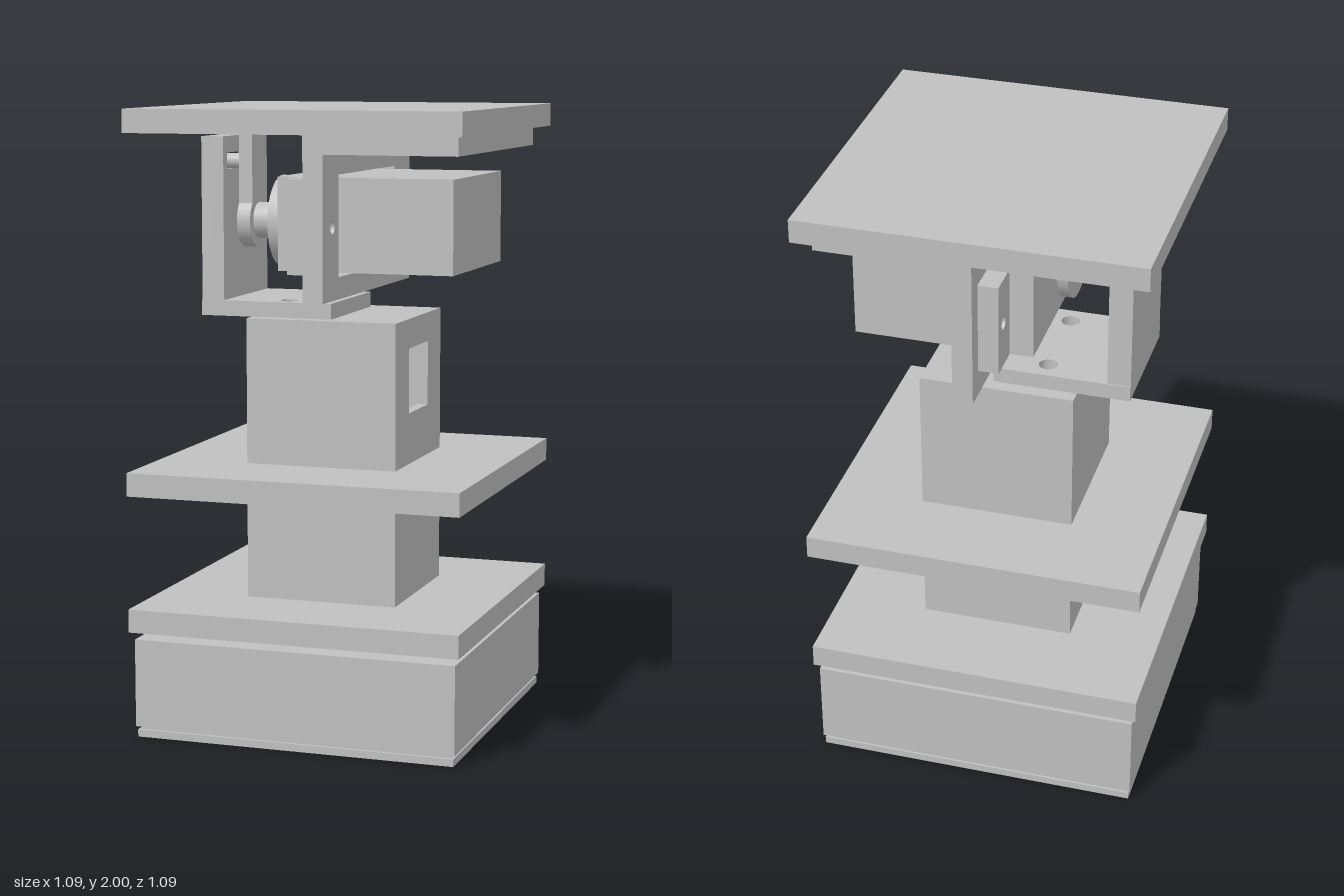
import * as THREE from 'three';

const grey = new THREE.MeshStandardMaterial({ color: 0xc0c0c0 });
grey.name = 'plain grey';

export function createModel() {
  const root = new THREE.Group();
  root.name = 'servoTower';

  function add(name, geometry, parent = root) {
    const mesh = new THREE.Mesh(geometry, grey);
    mesh.name = name;
    parent.add(mesh);
    return mesh;
  }
  function group(name) {
    const g = new THREE.Group();
    g.name = name;
    root.add(g);
    return g;
  }
  // Box given by its limits on each axis
  function box(name, [x0, x1], [y0, y1], [z0, z1], parent) {
    const g = new THREE.BoxGeometry(x1 - x0, y1 - y0, z1 - z0);
    g.translate((x0 + x1) / 2, (y0 + y1) / 2, (z0 + z1) / 2);
    return add(name, g, parent);
  }
  // Cylinder lying along x
  function rod(name, [x0, x1], y, z, r, parent) {
    const g = new THREE.CylinderGeometry(r, r, x1 - x0, 40);
    g.rotateZ(Math.PI / 2).translate((x0 + x1) / 2, y, z);
    return add(name, g, parent);
  }
  function rect(path, a0, a1, b0, b1) {
    path.moveTo(a0, b0);
    path.lineTo(a1, b0);
    path.lineTo(a1, b1);
    path.lineTo(a0, b1);
    path.closePath();
    return path;
  }
  const rectHole = (...limits) => rect(new THREE.Path(), ...limits);
  const roundHole = (a, b, r) => new THREE.Path().absarc(a, b, r, 0, Math.PI * 2, true);
  function pierced(limits, holes, depth) {
    const shape = rect(new THREE.Shape(), ...limits);
    shape.holes.push(...holes);
    return new THREE.ExtrudeGeometry(shape, { depth, bevelEnabled: false, curveSegments: 16 });
  }
  // Upright plate facing x: outline in (-z, y)
  function wall(name, [x0, x1], limits, holes, parent) {
    return add(name, pierced(limits, holes, x1 - x0).rotateY(Math.PI / 2).translate(x0, 0, 0), parent);
  }
  // Level plate: outline in (x, -z)
  function shelf(name, [y0, y1], limits, holes, parent) {
    return add(name, pierced(limits, holes, y1 - y0).rotateX(-Math.PI / 2).translate(0, y0, 0), parent);
  }
  const square = (name, h, y) => box(name, [-h, h], y, [-h, h]);

  // Base and square platforms
  square('bottomCover', 0.525, [0, 0.024]);
  square('baseSeam', 0.515, [0.02, 0.04]);
  square('baseBlock', 0.53, [0.035, 0.32]);
  square('lowerPlatform', 0.545, [0.345, 0.42]);
  square('middlePlatform', 0.545, [0.785, 0.86]);
  square('topPlatform', 0.545, [1.925, 2]);

  // Hollow column with a square opening in its left wall
  const column = group('column');
  const h = 0.25, t = 0.035, y0 = 0.32, y1 = 1.33;
  wall('columnWindowWall', [h - t, h], [-h, h, y0, y1], [rectHole(-0.105, 0.105, 1.025, 1.235)], column);
  box('columnRightWall', [-h, t - h], [y0, y1], [-h, h], column);
  for (const s of [-1, 1]) {
    const z = s * (h - t / 2);
    box('columnSideWall', [t - h, h - t], [y0, y1], [z - t / 2, z + t / 2], column);
  }
  box('columnCap', [t - h, h - t], [y1 - t, y1], [t - h, h - t], column);

  // Lower angle bracket: bolted foot and slotted upright
  const lower = group('lowerBracket');
  shelf('bracketFoot', [1.33, 1.38], [-0.42, 0.02, -0.205, 0.205],
    [roundHole(-0.14, 0.14, 0.03), roundHole(-0.14, -0.14, 0.03)], lower);
  wall('slottedUpright', [-0.42, -0.345], [-0.2, 0.2, 1.38, 1.905],
    [rectHole(-0.165, 0.13, 1.8, 1.852)], lower);

  // Upper angle bracket: motor plate and flange under the top platform
  const upper = group('upperBracket');
  wall('motorPlate', [0.01, 0.075], [-0.445, 0.465, 1.405, 1.925], [
    rectHole(-0.29, 0.29, 1.475, 1.795),
    roundHole(-0.35, 1.635, 0.021),
    roundHole(0.355, 1.635, 0.021),
  ], upper);
  shelf('topFlange', [1.863, 1.925], [0.075, 0.505, -0.445, 0.465],
    [roundHole(0.35, 0.345, 0.045), roundHole(0.35, -0.345, 0.045)], upper);

  // Motor with pierced ears and an offset output
  const motor = group('motor');
  const axisY = 1.637, axisZ = 0.138;
  box('motorBody', [-0.13, 0.445], [1.488, 1.785], [-0.283, 0.283], motor);
  for (const s of [-1, 1]) {
    const near = s * 0.283, far = s * 0.405;
    wall('motorEar', [-0.055, 0.01], [Math.min(near, far), Math.max(near, far), 1.488, 1.785],
      [roundHole(s * 0.35, 1.635, 0.021)], motor);
  }
  rod('motorCollar', [-0.165, -0.13], axisY, axisZ, 0.146, motor);
  rod('outputShaft', [-0.25, -0.165], axisY, axisZ, 0.058, motor);

  // Crank arm whose pin rides in the slot
  const crank = group('crank');
  rod('crankHub', [-0.29, -0.245], axisY, axisZ, 0.087, crank);
  box('crankArm', [-0.29, -0.245], [axisY, 1.915], [axisZ - 0.065, axisZ + 0.065], crank);
  rod('crankPin', [-0.4, -0.29], 1.826, axisZ, 0.024, crank);

  return root;
}
